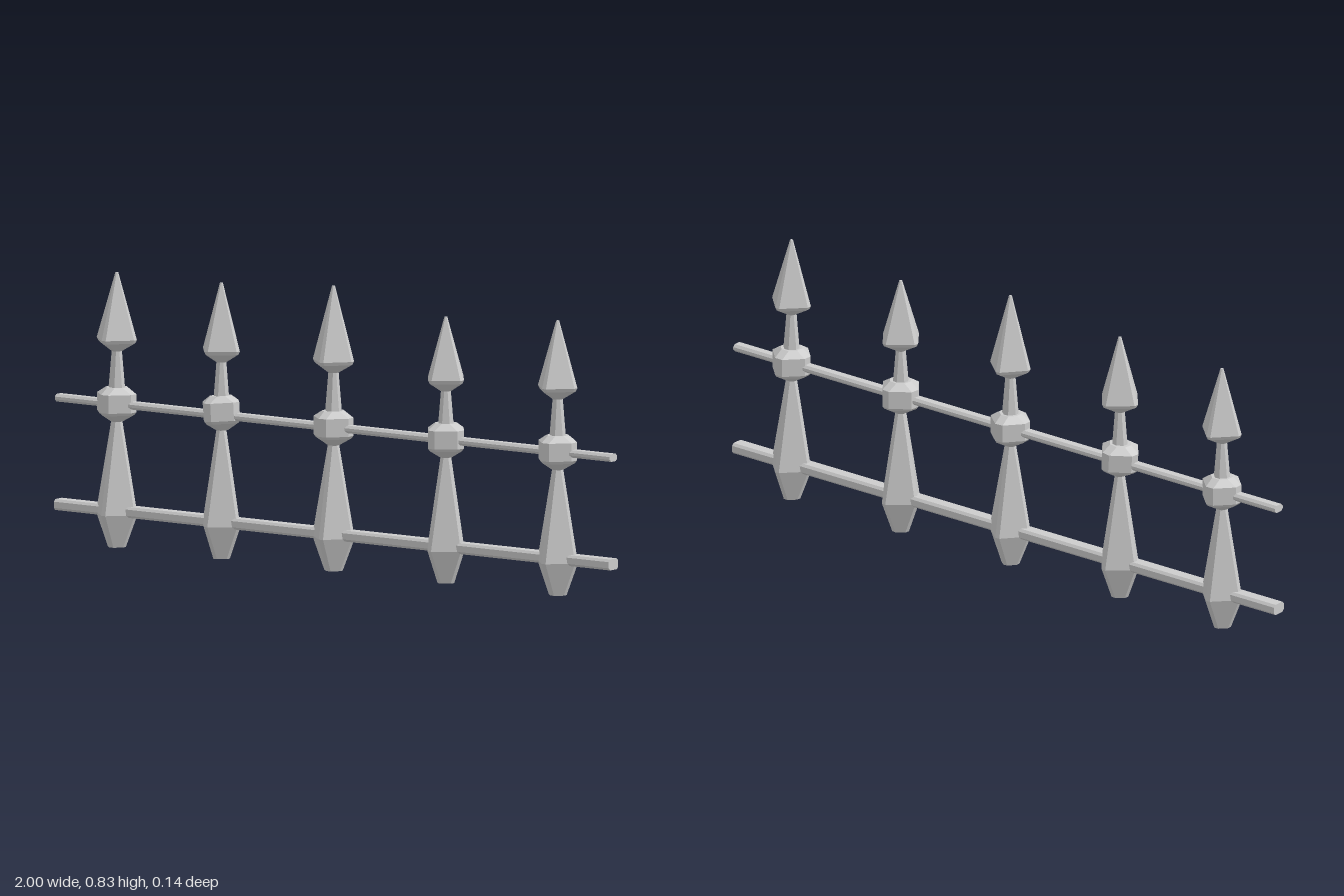
import * as THREE from 'three';

const material = new THREE.MeshStandardMaterial({ color: 0xcccccc, flatShading: true });

// Diamond cross-section with its four corners cut off, as a ring at height y
function diamondRing(y, r, cut) {
  const c = Math.min(cut, r * 0.5);
  const ring = [];
  for (let i = 0; i < 4; i++) {
    const a = (i * Math.PI) / 2;
    for (const s of [-c, c]) {
      ring.push([r * Math.cos(a) - s * Math.sin(a), y, r * Math.sin(a) + s * Math.cos(a)]);
    }
  }
  return ring;
}

// Closed solid through diamond rings given as [y, radius], bottom to top
function diamondLoft(name, profile, cut) {
  const rings = profile.map(([y, r]) => diamondRing(y, r, cut));
  const pos = [];
  const tri = (a, b, c) => pos.push(...a, ...b, ...c);
  const n = 8;
  for (let k = 0; k < rings.length - 1; k++) {
    for (let i = 0; i < n; i++) {
      const j = (i + 1) % n;
      const lo = rings[k], hi = rings[k + 1];
      tri(lo[i], hi[i], hi[j]);
      tri(lo[i], hi[j], lo[j]);
    }
  }
  const bottom = rings[0], top = rings[rings.length - 1];
  for (let i = 1; i < n - 1; i++) {
    tri(bottom[0], bottom[i], bottom[i + 1]);
    tri(top[0], top[i + 1], top[i]);
  }
  const geometry = new THREE.BufferGeometry();
  geometry.setAttribute('position', new THREE.Float32BufferAttribute(pos, 3));
  geometry.computeVertexNormals();
  const mesh = new THREE.Mesh(geometry, material);
  mesh.name = name;
  return mesh;
}

// One fence post: tapered body, collar, neck and spear head
function createPost({ x, turn, headBase, tip, collarLift, collarTilt }) {
  const post = new THREE.Group();
  post.name = 'post';
  post.add(diamondLoft('postBody', [[0, 0.027], [0.097, 0.068], [0.385, 0.012]], 0.007));

  const collar = diamondLoft('collar',
    [[-0.055, 0.015], [-0.033, 0.053], [-0.025, 0.06], [0.028, 0.06], [0.046, 0.03]], 0.013);
  collar.position.y = 0.42 + collarLift;
  collar.rotation.z = collarTilt;
  post.add(collar);

  post.add(diamondLoft('neck', [[0.44, 0.026], [headBase - 0.03, 0.013]], 0.008));
  post.add(diamondLoft('spearHead', [
    [headBase - 0.036, 0.014], [headBase - 0.01, 0.06],
    [headBase, 0.066], [tip, 0.004],
  ], 0.007));

  post.position.x = x;
  post.rotation.y = turn;
  return post;
}

// Horizontal rail with chamfered edges, running along x
function createRail(name, y, halfHeight, halfDepth) {
  const c = 0.007, w = halfDepth, h = halfHeight;
  const shape = new THREE.Shape([
    [w, -h + c], [w, h - c], [w - c, h], [-w + c, h],
    [-w, h - c], [-w, -h + c], [-w + c, -h], [w - c, -h],
  ].map(([px, py]) => new THREE.Vector2(px, py)));
  const geometry = new THREE.ExtrudeGeometry(shape, { depth: 2, bevelEnabled: false });
  geometry.translate(0, 0, -1).rotateY(Math.PI / 2);
  const rail = new THREE.Mesh(geometry, material);
  rail.name = name;
  rail.position.y = y;
  return rail;
}

export function createModel() {
  const fence = new THREE.Group();
  fence.name = 'fence';
  fence.add(createRail('lowerRail', 0.106, 0.016, 0.023));
  fence.add(createRail('upperRail', 0.417, 0.011, 0.018));

  // Slight differences give the posts a hand-made look
  [
    { x: -0.79, turn: 0.03, headBase: 0.607, tip: 0.8, collarLift: 0, collarTilt: 0 },
    { x: -0.413, turn: -0.1, headBase: 0.608, tip: 0.803, collarLift: 0.008, collarTilt: 0.07 },
    { x: -0.009, turn: 0.08, headBase: 0.613, tip: 0.83, collarLift: 0, collarTilt: 0 },
    { x: 0.396, turn: -0.14, headBase: 0.595, tip: 0.775, collarLift: 0, collarTilt: 0 },
    { x: 0.799, turn: 0, headBase: 0.607, tip: 0.8, collarLift: 0, collarTilt: 0 },
  ].forEach((p) => fence.add(createPost(p)));
  return fence;
}
